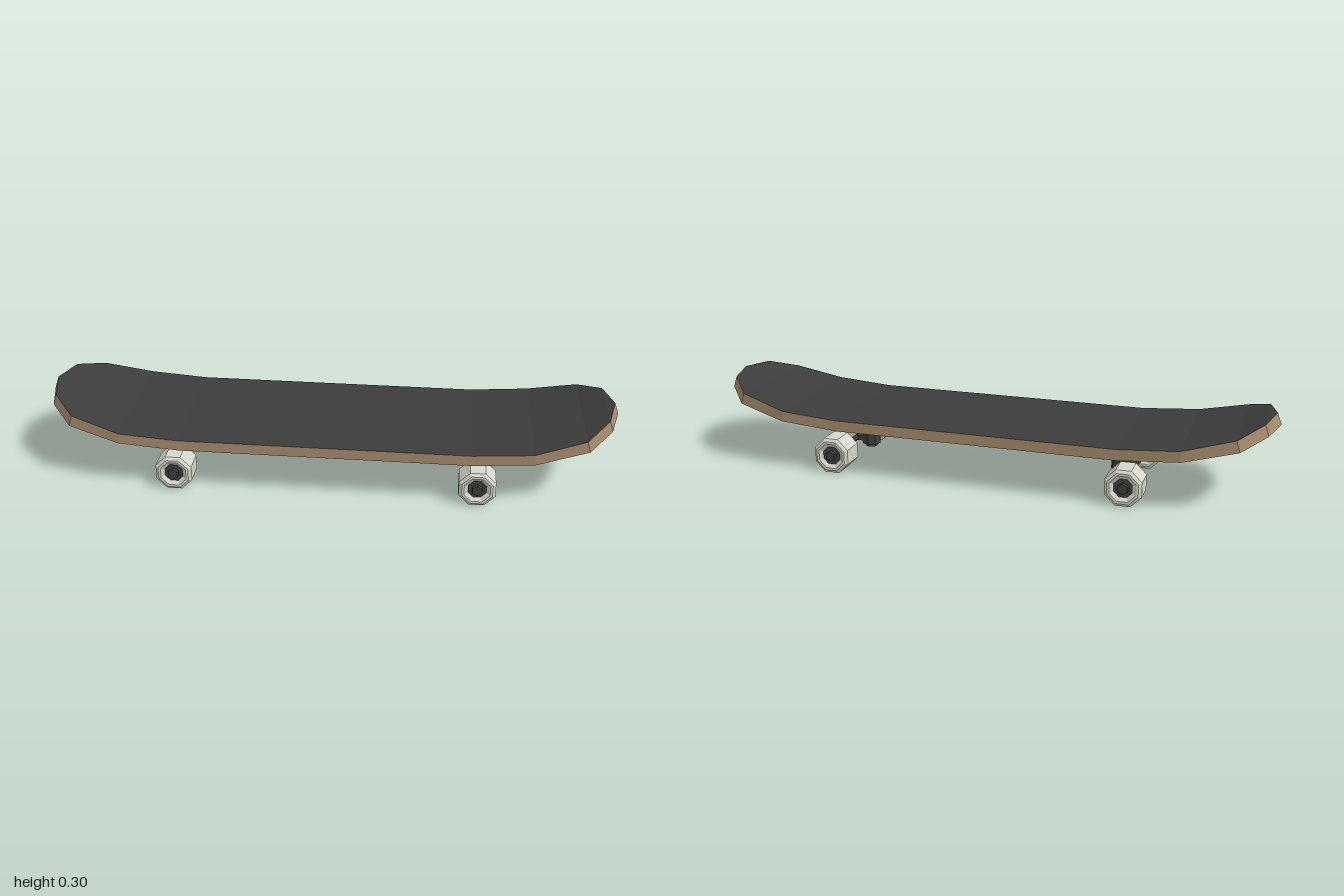
import * as THREE from 'three';

const wood = new THREE.MeshStandardMaterial({ color: 0xa68b6c, flatShading: true });
wood.name = 'maple wood';
const grip = new THREE.MeshStandardMaterial({ color: 0x3c3c3c, flatShading: true });
grip.name = 'grip tape';
const metal = new THREE.MeshStandardMaterial({ color: 0x3e3e3e, flatShading: true });
metal.name = 'dark metal';
const urethane = new THREE.MeshStandardMaterial({ color: 0xd6d7cc, flatShading: true });
urethane.name = 'pale urethane';

// Deck stations from middle to tip: [top x, top y, bottom x, bottom y, half width]
const half = [
  [0.5, 0.198, 0.5, 0.16, 0.242],
  [0.705, 0.213, 0.71, 0.176, 0.242],
  [0.876, 0.256, 0.888, 0.217, 0.21],
  [0.955, 0.29, 0.968, 0.251, 0.122],
  [0.985, 0.297, 1.0, 0.258, 0],
];
const stations = [
  ...half.map(([a, b, c, d, w]) => [-a, b, -c, d, w]).reverse(),
  ...half,
];

function quadGeometry(quads) {
  const pos = [];
  const tri = (a, b, c) => {
    const same = (p, q) => p.every((v, i) => Math.abs(v - q[i]) < 1e-6);
    if (!same(a, b) && !same(b, c) && !same(a, c)) pos.push(...a, ...b, ...c);
  };
  for (const [a, b, c, d] of quads) { tri(a, b, c); tri(a, c, d); }
  const g = new THREE.BufferGeometry();
  g.setAttribute('position', new THREE.Float32BufferAttribute(pos, 3));
  g.computeVertexNormals();
  return g;
}

function add(parent, name, geometry, material, x = 0, y = 0, z = 0) {
  const m = new THREE.Mesh(geometry, material);
  m.name = name;
  m.position.set(x, y, z);
  parent.add(m);
  return m;
}

function buildDeck() {
  const deck = new THREE.Group();
  deck.name = 'deck';
  const top = [], body = [];
  for (let i = 0; i < stations.length - 1; i++) {
    const corners = ([tx, ty, bx, by, w]) => ({
      tf: [tx, ty, w], tb: [tx, ty, -w], bf: [bx, by, w], bb: [bx, by, -w],
    });
    const a = corners(stations[i]), b = corners(stations[i + 1]);
    top.push([a.tf, b.tf, b.tb, a.tb]);
    body.push([a.bf, a.bb, b.bb, b.bf]); // underside
    body.push([a.bf, b.bf, b.tf, a.tf]); // front edge
    body.push([b.bb, a.bb, a.tb, b.tb]); // back edge
  }
  add(deck, 'gripSurface', quadGeometry(top), grip);
  add(deck, 'woodBoard', quadGeometry(body), wood);
  return deck;
}

// Octagonal wheel with bevelled rims and a recessed core on each face
function buildWheel() {
  const wheel = new THREE.Group();
  wheel.name = 'wheel';
  const R = 0.068;
  const profile = [
    [0.034, -0.04], [0.048, -0.05], [0.057, -0.05], [R, -0.042],
    [R, 0.042], [0.057, 0.05], [0.048, 0.05], [0.034, 0.04],
  ].map(([r, y]) => new THREE.Vector2(r, y));
  const turn = (g) => g.rotateY(Math.PI / 8).rotateX(Math.PI / 2);
  add(wheel, 'tyre', turn(new THREE.LatheGeometry(profile, 8)), urethane);
  add(wheel, 'hub', turn(new THREE.CylinderGeometry(0.034, 0.034, 0.082, 8)), metal);
  return wheel;
}

// Truck facing +x; the axle sits outboard of the kingpin
function buildTruck() {
  const truck = new THREE.Group();
  truck.name = 'truck';
  add(truck, 'baseplate', new THREE.BoxGeometry(0.19, 0.011, 0.144), metal, 0.483, 0.1565);
  add(truck, 'kingpinPost', new THREE.CylinderGeometry(0.031, 0.035, 0.11, 8), metal, 0.473, 0.1);
  add(truck, 'kingpinNut', new THREE.CylinderGeometry(0.023, 0.023, 0.014, 6), metal, 0.473, 0.04);
  add(truck, 'hangerArm', new THREE.BoxGeometry(0.06, 0.018, 0.045), metal, 0.498, 0.064);
  add(truck, 'axle', new THREE.CylinderGeometry(0.01, 0.01, 0.44, 8).rotateX(Math.PI / 2), metal, 0.525, 0.064);
  for (const side of [-1, 1]) {
    const wheel = buildWheel();
    wheel.position.set(0.525, 0.063, side * 0.191);
    truck.add(wheel);
    add(truck, 'axleNut', new THREE.CylinderGeometry(0.019, 0.019, 0.02, 6).rotateX(Math.PI / 2),
      metal, 0.525, 0.063, side * 0.236);
  }
  return truck;
}

export function createModel() {
  const model = new THREE.Group();
  model.name = 'skateboard';
  model.add(buildDeck());
  for (const end of [0, 1]) {
    const truck = buildTruck();
    truck.rotation.y = end * Math.PI;
    model.add(truck);
  }
  return model;
}
